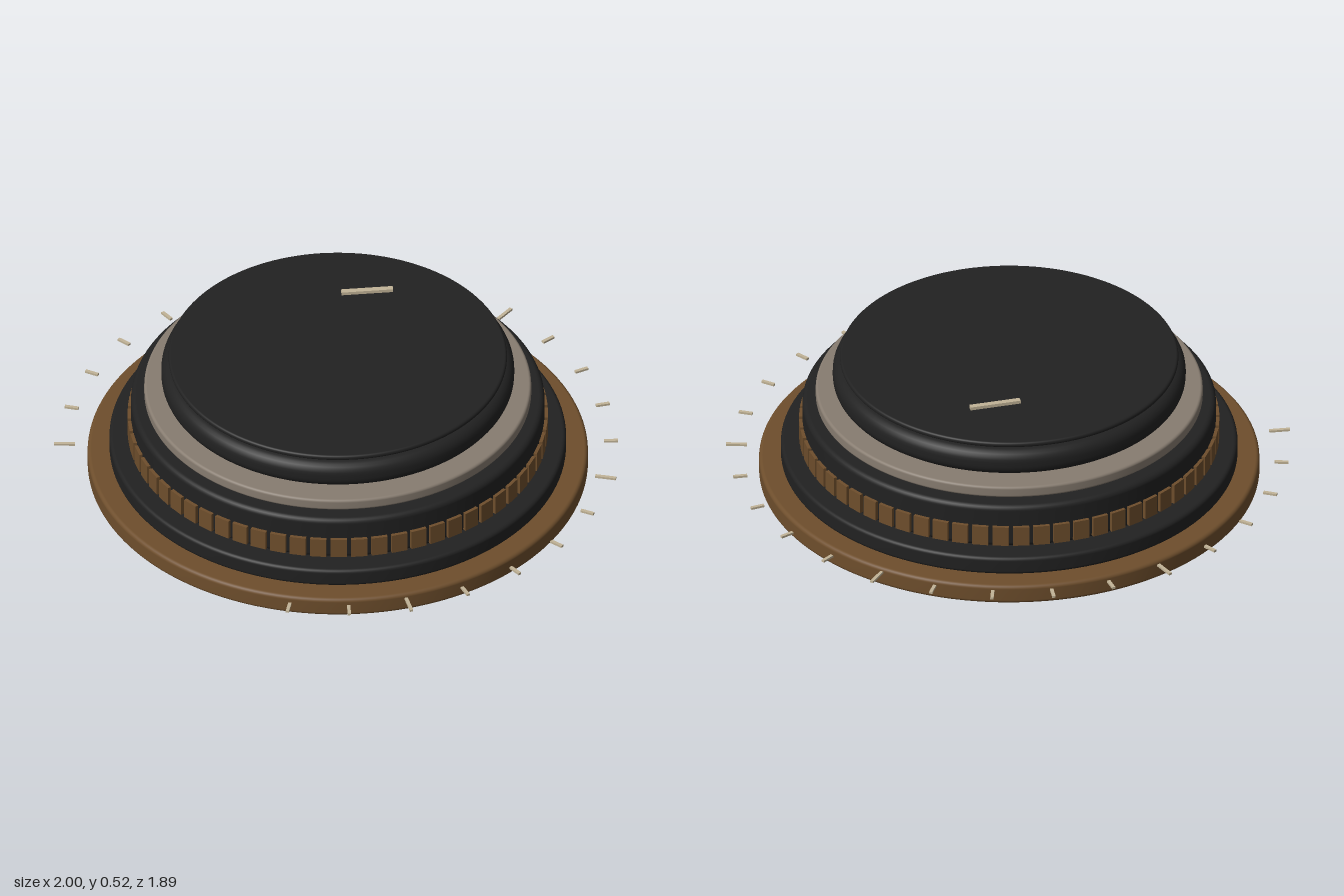
import * as THREE from 'three';

const CENTER_Z = 0.053;

const mat = (name, color) => {
  const m = new THREE.MeshStandardMaterial({ color });
  m.name = name;
  return m;
};

// Solid disc with rounded rims, turned around the y axis
function roundedDisc(radius, y0, y1, r, steps = 6) {
  const pts = [new THREE.Vector2(0, y0)];
  const corner = (cy, from) => {
    for (let i = 0; i <= steps; i++) {
      const a = from + (i / steps) * Math.PI / 2;
      pts.push(new THREE.Vector2(radius - r + Math.cos(a) * r, cy + Math.sin(a) * r));
    }
  };
  corner(y0 + r, -Math.PI / 2);
  corner(y1 - r, 0);
  pts.push(new THREE.Vector2(0, y1));
  return new THREE.LatheGeometry(pts, 128);
}

export function createModel() {
  const brown = mat('bronze brown', 0x6e4e2c);
  const black = mat('matte black', 0x212121);
  const gray = mat('warm gray', 0x877c70);
  const cream = mat('cream', 0xc2b497);

  const model = new THREE.Group();
  model.name = 'dial';
  const add = (name, geometry, material, parent = model) => {
    const mesh = new THREE.Mesh(geometry, material);
    mesh.name = name;
    parent.add(mesh);
    return mesh;
  };

  // Stacked discs: name, radius, bottom, top, rim rounding, material
  const tiers = [
    ['basePlate', 0.893, 0, 0.073, 0.014, brown],
    ['lowerCollar', 0.815, 0.073, 0.142, 0.014, black],
    ['gripBody', 0.738, 0.142, 0.311, 0.02, black],
    ['trimRing', 0.691, 0.319, 0.363, 0.01, gray],
    ['knobCap', 0.63, 0.368, 0.469, 0.042, black],
    ['topDisc', 0.604, 0.475, 0.495, 0.009, black],
  ];
  for (const [name, radius, y0, y1, r, m] of tiers) {
    add(name, roundedDisc(radius, y0, y1, r), m).position.z = CENTER_Z;
  }

  // Grip pads set around the body
  const grips = new THREE.Group();
  grips.name = 'gripPads';
  grips.position.set(0, 0.193, CENTER_Z);
  model.add(grips);
  const padGeo = new THREE.BoxGeometry(0.058, 0.076, 0.03);
  const padCount = 64;
  for (let i = 0; i < padCount; i++) {
    const a = (i / padCount) * Math.PI * 2;
    const pad = add('gripPad', padGeo, brown, grips);
    pad.position.set(Math.sin(a) * 0.735, 0, Math.cos(a) * 0.735);
    pad.rotation.y = a;
  }

  // Scale marks in a 280 degree arc, open at the front; every fifth is longer
  const scale = new THREE.Group();
  scale.name = 'scaleMarks';
  scale.position.set(0, 0.088, CENTER_Z);
  model.add(scale);
  const shortGeo = new THREE.BoxGeometry(0.012, 0.008, 0.05);
  const longGeo = new THREE.BoxGeometry(0.012, 0.008, 0.075);
  for (let i = 0; i <= 22; i++) {
    const a = THREE.MathUtils.degToRad(-140 + (280 * i) / 22);
    const mark = add('scaleMark', i % 5 ? shortGeo : longGeo, cream, scale);
    mark.position.set(Math.sin(a) * 0.975, 0, -Math.cos(a) * 0.975);
    mark.rotation.y = -a;
  }

  // Pointer bar just above the top disc
  const pointer = add('pointer', new THREE.BoxGeometry(0.02, 0.012, 0.185), cream);
  pointer.position.set(-0.205, 0.511, -0.253);
  pointer.rotation.y = THREE.MathUtils.degToRad(-33.5);

  return model;
}
